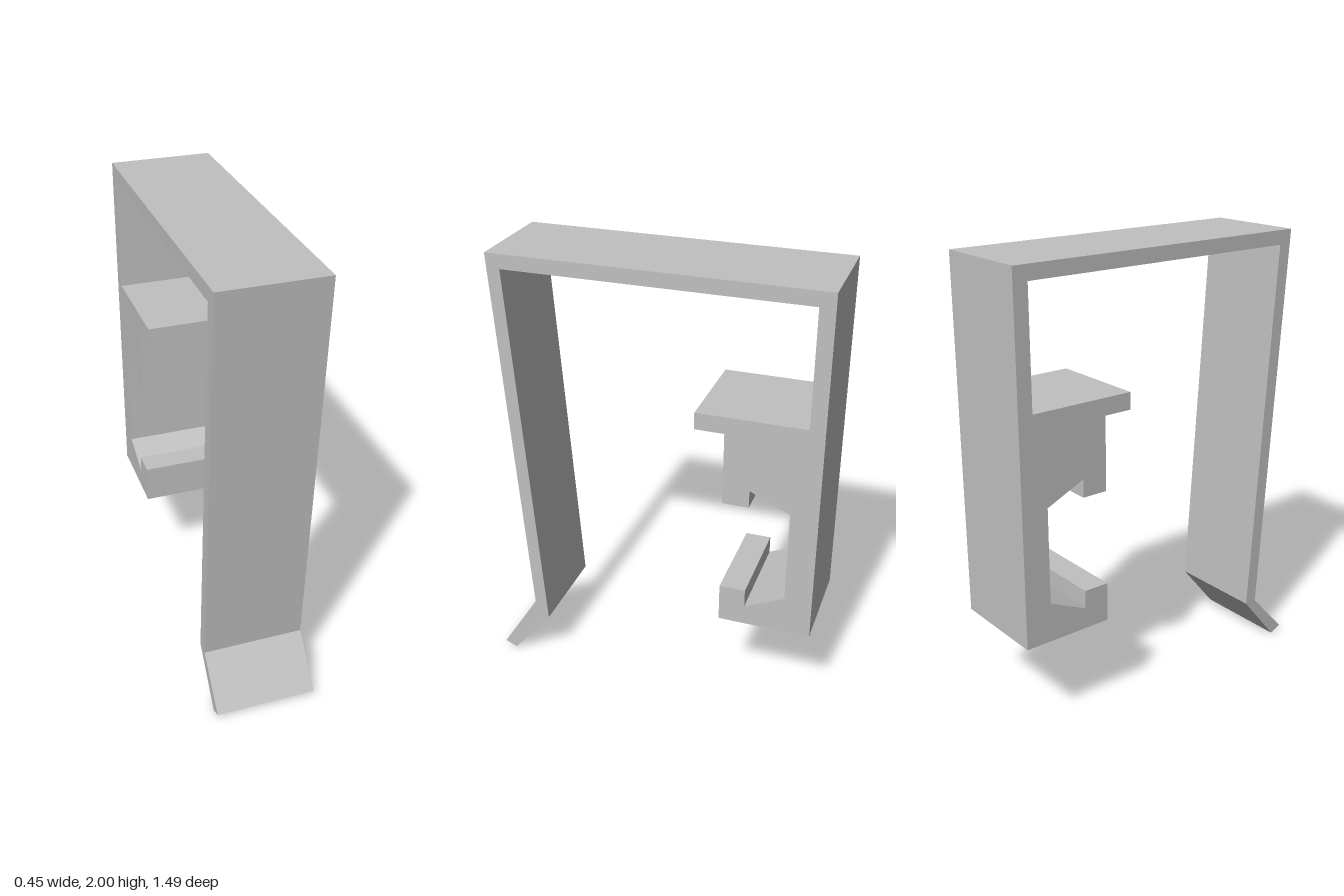
import * as THREE from 'three';

const WIDTH = 0.45;

// Side profile as [z, y] points, counter-clockwise is not required
const strap = [
  [0.69, 0], [0.745, 0.025], [0.563, 0.226], [0.685, 2], // flared lip and spring arm, outside
  [-0.745, 2], [-0.745, 0.432],                          // top bridge and back plate
];
const jaw = [
  [-0.335, 0.432], [-0.335, 0.607], [-0.45, 0.607], [-0.45, 0.525], [-0.625, 0.607], // lower jaw
  [-0.625, 1.03], [-0.45, 1.11], [-0.45, 1.03], [-0.335, 1.03],                      // upper jaw
];
const inside = [
  [-0.335, 1.355], [-0.207, 1.355], [-0.207, 1.43], [-0.68, 1.43], // shelf
  [-0.68, 1.937], [0.622, 1.937], [0.504, 0.226],                 // inner faces of bridge and arm
];

export function createModel() {
  const grey = new THREE.MeshStandardMaterial({ color: 0xc0c0c0 });
  grey.name = 'light grey';

  const profile = new THREE.Shape(
    [...strap, ...jaw, ...inside].map(([z, y]) => new THREE.Vector2(z, y))
  );

  // One continuous bracket, extruded across its width
  const geometry = new THREE.ExtrudeGeometry(profile, { depth: WIDTH, bevelEnabled: false });
  geometry.translate(0, 0, -WIDTH / 2);
  geometry.rotateY(-Math.PI / 2); // profile x becomes z

  const bracket = new THREE.Mesh(geometry, grey);
  bracket.name = 'clipBracket';

  const model = new THREE.Group();
  model.name = 'hangingClip';
  model.add(bracket);
  return model;
}
